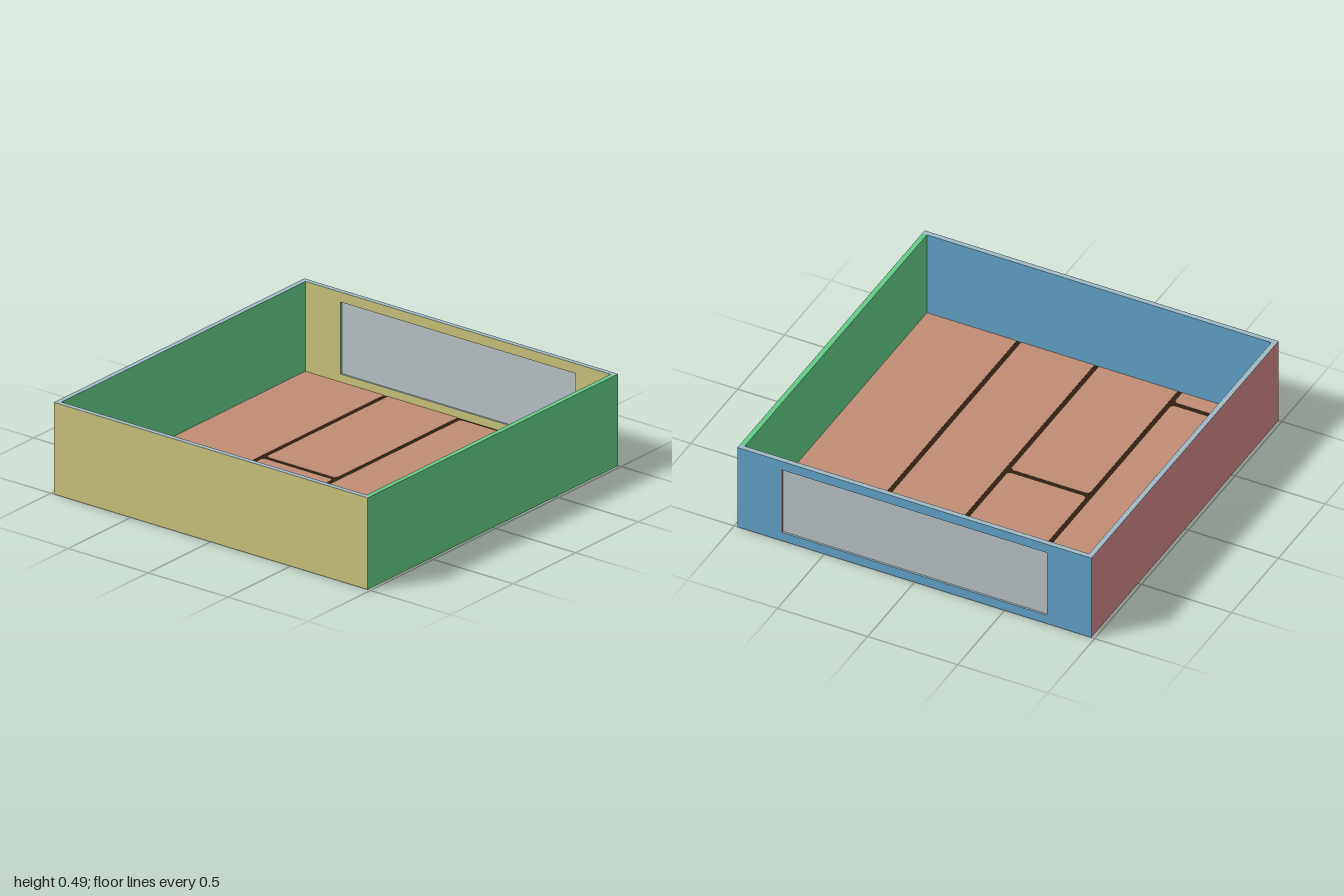
import * as THREE from 'three';

const W = 0.982, D = 1, H = 0.49, T = 0.027; // half width, half depth, height, wall thickness
const IX = W - T, IZ = D - T;                // inner half sizes

const mat = (name, color) => {
  const m = new THREE.MeshStandardMaterial({ color });
  m.name = name;
  return m;
};

export function createModel() {
  const yellow = mat('olive yellow', 0xc8c27a);
  const green = mat('green', 0x62ca85);
  const blue = mat('blue', 0x61a3c8);
  const red = mat('dusty red', 0xcd8484);
  const rim = mat('rim blue grey', 0x9fb9c4);
  const glass = mat('pane grey', 0xb8c2c7);
  const wood = mat('plank brown', 0xc08c72);
  const dark = mat('gap dark brown', 0x30200f);

  const model = new THREE.Group();
  model.name = 'walledRoom';

  // Box given by its min and max corners
  const box = (name, x0, x1, y0, y1, z0, z1, material, parent = model) => {
    const mesh = new THREE.Mesh(new THREE.BoxGeometry(x1 - x0, y1 - y0, z1 - z0), material);
    mesh.position.set((x0 + x1) / 2, (y0 + y1) / 2, (z0 + z1) / 2);
    mesh.name = name;
    parent.add(mesh);
  };

  // Walls: face colours in the order +x, -x, top, bottom, +z, -z
  const endWall = [green, red, rim, rim, yellow, blue];
  box('frontWall', -W, W, 0, H, IZ, D, endWall);
  box('leftWall', IX, W, 0, H, -IZ, IZ, [green, green, green, rim, yellow, blue]);
  box('rightWall', -W, -IX, 0, H, -IZ, IZ, [green, red, rim, rim, yellow, blue]);

  // Back wall framing a recessed pane
  const back = new THREE.Group();
  back.name = 'backWall';
  model.add(back);
  const wx = 0.735, wy0 = 0.052, wy1 = 0.437;
  box('backPostRight', -W, -wx, 0, H, -D, -IZ, endWall, back);
  box('backPostLeft', wx, W, 0, H, -D, -IZ, endWall, back);
  box('sill', -wx, wx, 0, wy0, -D, -IZ, endWall, back);
  box('lintel', -wx, wx, wy1, H, -D, -IZ, endWall, back);
  box('windowPane', -wx, wx, wy0, wy1, -D + 0.01, -IZ - 0.01, glass, back);

  // Dark layer that shows through the gaps between the planks
  box('floorGaps', -IX, IX, 0.002, 0.008, -IZ, IZ, dark);

  // Planks with corners cut where they meet a joint
  const floor = new THREE.Group();
  floor.name = 'floorPlanks';
  model.add(floor);
  const plank = (x0, x1, z0, z1) => {
    const cut = (x, z) => (Math.abs(x) >= IX || Math.abs(z) >= IZ ? 0 : 0.014);
    const shape = new THREE.Shape();
    // Corners run anticlockwise in (x, -z)
    const corners = [[x0, z1], [x1, z1], [x1, z0], [x0, z0]];
    const pts = [];
    corners.forEach(([x, z], i) => {
      const c = cut(x, z);
      const sx = x === x0 ? c : -c, sz = z === z0 ? c : -c;
      const onX = new THREE.Vector2(x + sx, -z), onZ = new THREE.Vector2(x, -(z + sz));
      if (c === 0) pts.push(onX);
      else pts.push(...(i % 2 ? [onX, onZ] : [onZ, onX]));
    });
    shape.setFromPoints(pts);
    const geo = new THREE.ExtrudeGeometry(shape, { depth: 0.01, bevelEnabled: false });
    geo.rotateX(-Math.PI / 2);
    const mesh = new THREE.Mesh(geo, wood);
    mesh.name = 'plank';
    floor.add(mesh);
  };

  // Each row: x range, then the z ranges of its planks
  const rows = [
    [-IX, -0.463, [[-IZ, 0.857], [0.883, IZ]]],
    [-0.437, 0, [[-IZ, 0], [0.025, IZ]]],
    [0.026, 0.431, [[-0.958, IZ]]],
    [0.457, IX, [[-IZ, -0.587], [-0.56, IZ]]],
  ];
  for (const [x0, x1, spans] of rows)
    for (const [z0, z1] of spans) plank(x0, x1, z0, z1);

  return model;
}
